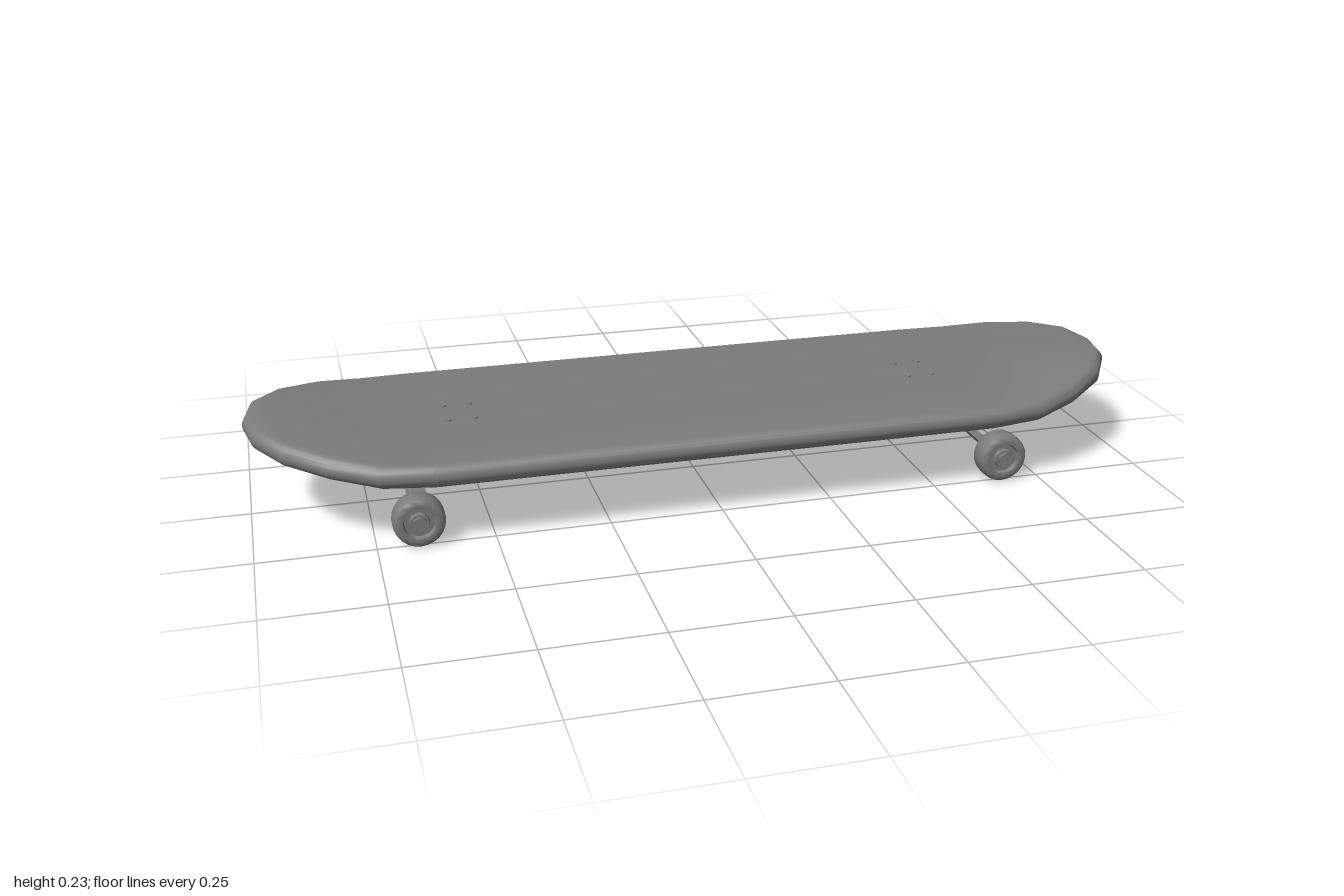
import * as THREE from 'three';
import { toCreasedNormals } from 'three/addons/utils/BufferGeometryUtils.js';

const material = new THREE.MeshStandardMaterial({ color: 0x7c7c7c });

function add(parent, name, geometry, x = 0, y = 0, z = 0) {
  const mesh = new THREE.Mesh(geometry, material);
  mesh.name = name;
  mesh.position.set(x, y, z);
  parent.add(mesh);
  return mesh;
}

function buildGeometry(positions, index, crease) {
  const g = new THREE.BufferGeometry();
  g.setAttribute('position', new THREE.Float32BufferAttribute(positions, 3));
  g.setIndex(index);
  return toCreasedNormals(g, crease);
}

// Deck: one outline repeated as rings around a rounded rim, ends kicked upwards
function deckGeometry() {
  const quarter = [[0.63, 0.3], [0.74, 0.286], [0.84, 0.245], [0.93, 0.178], [0.984, 0.092], [1, 0]];
  // +z edge from right end to left end, then back along -z
  const half = [...quarter].reverse().concat(quarter.map(([x, z]) => [-x, z]));
  const outline = half.concat(half.slice(1, -1).reverse().map(([x, z]) => [x, -z]));
  const n = outline.length, steps = 10;
  const positions = [], index = [];
  for (let r = 0; r <= steps; r++) {
    const a = (r / steps - 0.5) * Math.PI;
    const inset = 0.022 * (1 - Math.cos(a));
    for (const [x, z] of outline) {
      const lift = THREE.MathUtils.clamp((Math.abs(x) - 0.72) * 0.155, 0, 0.041);
      positions.push(x * (1 - inset), 0.166 + 0.025 * Math.sin(a) + lift, z * (1 - inset / 0.3));
    }
  }
  for (let r = 0; r < steps; r++) {
    for (let i = 0; i < n; i++) {
      const a = r * n + i, b = r * n + (i + 1) % n;
      index.push(a, a + n, b, b, a + n, b + n);
    }
  }
  // Caps: strips joining each outline point to its mirror across the centre line
  const cap = (start, up) => {
    for (let i = 0; i < half.length - 1; i++) {
      const a = start + i, b = start + i + 1;
      const c = start + (n - i) % n, d = start + (n - i - 1) % n;
      for (const t of [[a, d, b], [a, c, d]]) {
        if (new Set(t).size === 3) index.push(...(up ? t : t.reverse()));
      }
    }
  };
  cap(0, false);
  cap(steps * n, true);
  return buildGeometry(positions, index, 0.6);
}

// Hanger: upright neck that widens and leans outwards into the axle beam
function hangerGeometry() {
  // [y, half width in z, centre x] from the top down
  const rows = [[0.139, 0.04, 0.62], [0.1, 0.06, 0.62], [0.072, 0.126, 0.642],
    [0.072, 0.22, 0.642], [0.048, 0.22, 0.661]];
  const positions = [], index = [0, 1, 2, 0, 2, 3];
  for (const [y, w, x] of rows) {
    const t = 0.01;
    positions.push(x - t, y, -w, x - t, y, w, x + t, y, w, x + t, y, -w);
  }
  for (let r = 0; r < rows.length - 1; r++) {
    for (let i = 0; i < 4; i++) {
      const a = r * 4 + i, b = r * 4 + (i + 1) % 4;
      index.push(a, a + 4, b, b, a + 4, b + 4);
    }
  }
  const e = (rows.length - 1) * 4;
  index.push(e, e + 2, e + 1, e, e + 3, e + 2);
  return buildGeometry(positions, index, 0.2);
}

// Wheel: rounded tyre with a ring-shaped recess around the hub on each face
function wheelGeometry() {
  const half = [[0.006, 0.025], [0.02, 0.025], [0.022, 0.017], [0.032, 0.017], [0.035, 0.0265],
    [0.043, 0.0275], [0.05, 0.0255], [0.0545, 0.02], [0.056, 0.012]];
  const profile = half.map(([r, h]) => new THREE.Vector2(r, -h))
    .concat([...half].reverse().map(([r, h]) => new THREE.Vector2(r, h)));
  return toCreasedNormals(new THREE.LatheGeometry(profile, 24).rotateX(Math.PI / 2), 0.7);
}

// Truck at the +x end; the other one is the same part turned round
function createTruck() {
  const truck = new THREE.Group();
  truck.name = 'truck';
  add(truck, 'basePlate', new THREE.BoxGeometry(0.085, 0.006, 0.09), 0.62, 0.139, 0);
  add(truck, 'hanger', hangerGeometry());
  add(truck, 'axle', new THREE.CylinderGeometry(0.008, 0.008, 0.554, 12).rotateX(Math.PI / 2), 0.66, 0.057, 0);

  const wheel = wheelGeometry();
  const nut = new THREE.CylinderGeometry(0.016, 0.016, 0.012, 6).rotateX(Math.PI / 2);
  const plateNut = new THREE.CylinderGeometry(0.009, 0.009, 0.006, 6);
  const bolt = new THREE.CylinderGeometry(0.007, 0.008, 0.006, 10);
  for (const s of [-1, 1]) {
    add(truck, 'wheel', wheel, 0.66, 0.056, s * 0.242);
    add(truck, 'axleNut', nut, 0.66, 0.057, s * 0.27);
    for (const x of [0.592, 0.648]) add(truck, 'plateNut', plateNut, x, 0.135, s * 0.028);
    for (const x of [0.508, 0.566]) add(truck, 'deckBolt', bolt, x, 0.192, s * 0.045);
  }
  return truck;
}

export function createModel() {
  const model = new THREE.Group();
  model.name = 'skateboard';
  add(model, 'deck', deckGeometry());
  const rightTruck = createTruck();
  rightTruck.rotation.y = Math.PI;
  model.add(createTruck(), rightTruck);
  return model;
}
